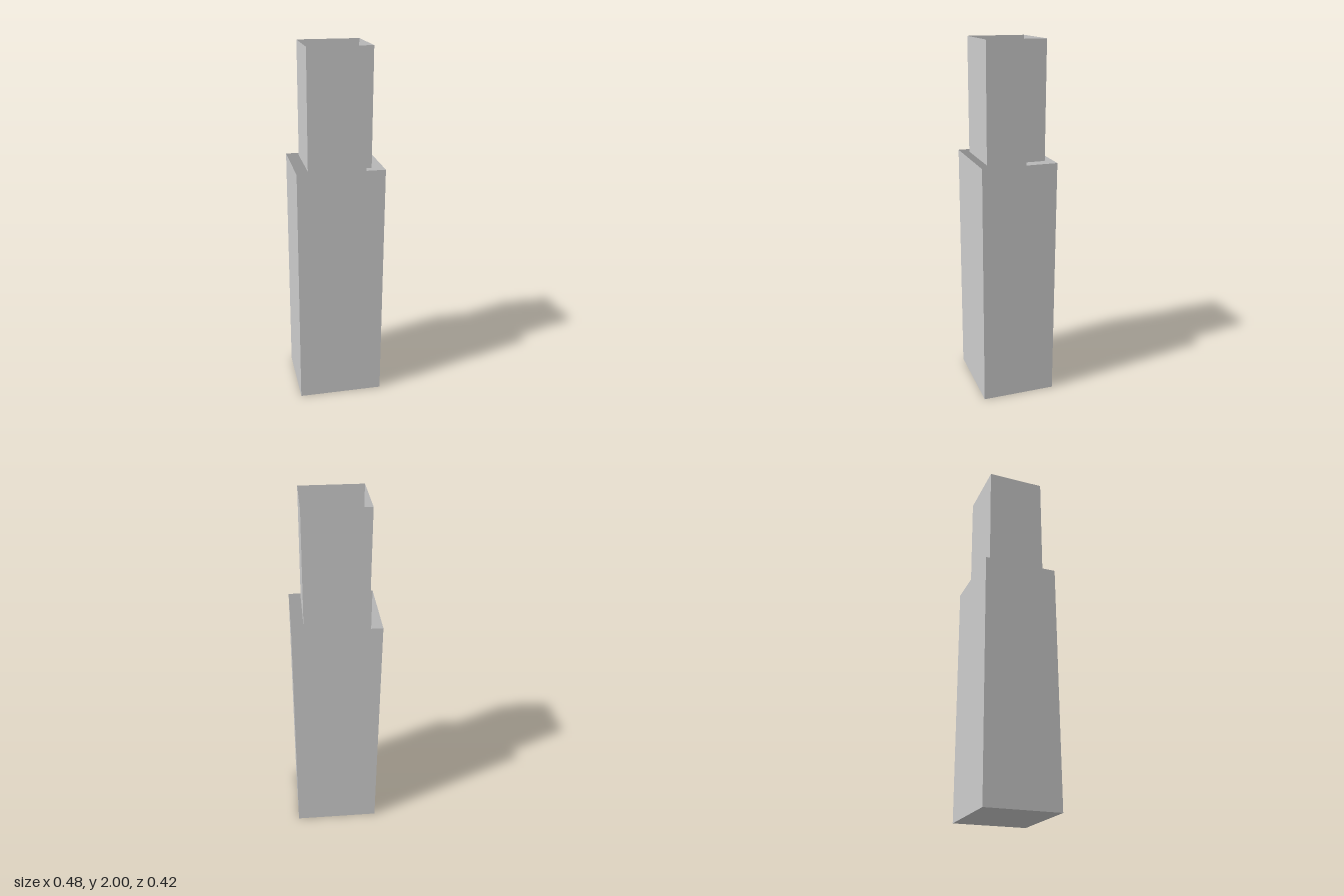
import * as THREE from 'three';

const material = new THREE.MeshStandardMaterial({ color: 0xcccccc, side: THREE.DoubleSide });

// Thin-walled box, open at the top, standing at height y
function openBox(name, width, height, depth, y) {
  const geometry = new THREE.BoxGeometry(width, height, depth);
  const index = Array.from(geometry.index.array);
  index.splice(12, 6); // drop the top face
  geometry.setIndex(index);
  geometry.clearGroups();
  geometry.translate(0, y + height / 2, 0);
  const mesh = new THREE.Mesh(geometry, material);
  mesh.name = name;
  return mesh;
}

export function createModel() {
  const group = new THREE.Group();
  group.name = 'steppedTower';
  const step = 1.364;
  group.add(openBox('lowerBox', 0.476, step, 0.416, 0));
  group.add(openBox('upperBox', 0.344, 2 - step, 0.324, step));
  return group;
}
